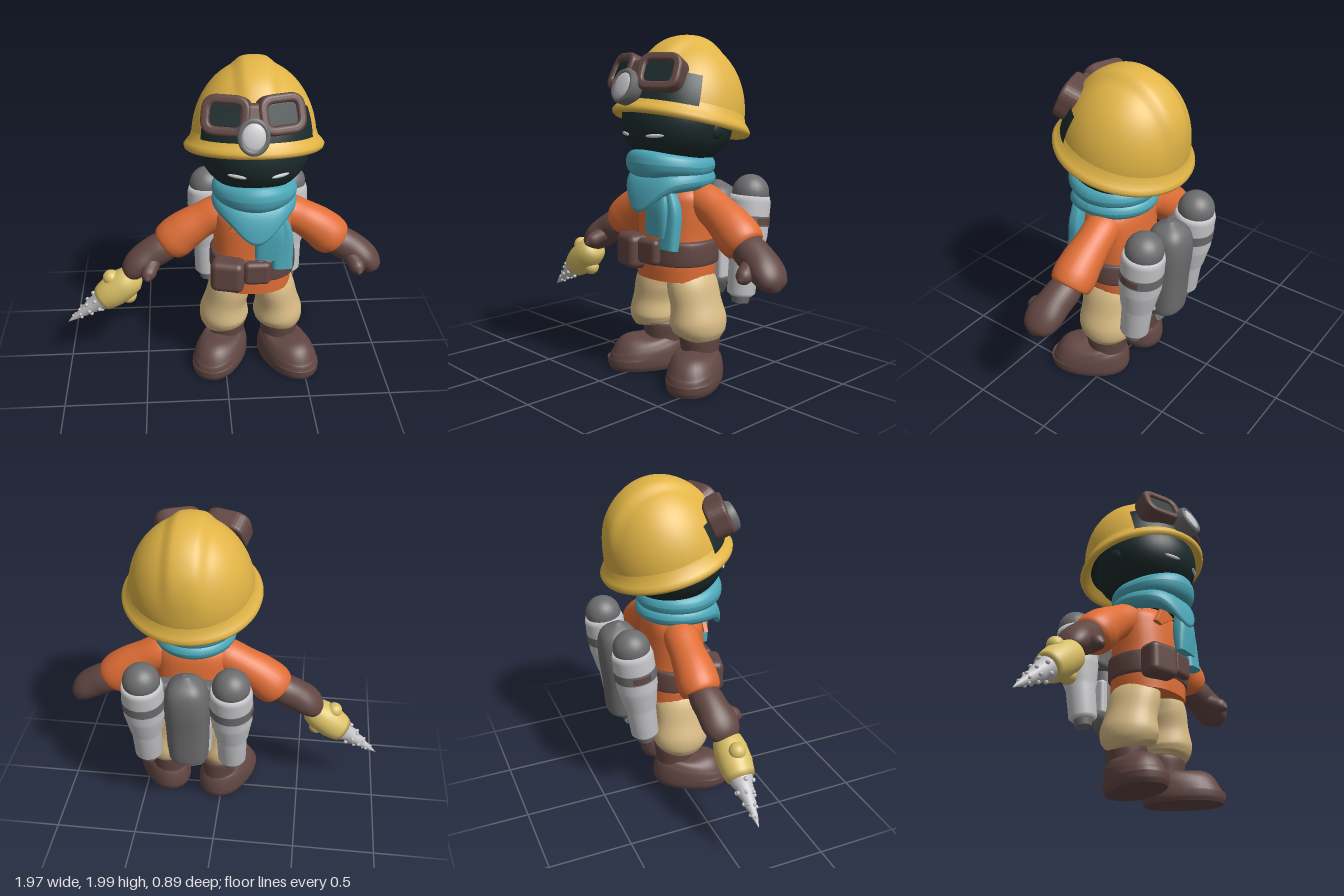
import * as THREE from 'three';
import { RoundedBoxGeometry } from 'three/addons/geometries/RoundedBoxGeometry.js';

const V = (x, y, z) => new THREE.Vector3(x, y, z);
const mat = (name, color, side = THREE.FrontSide) => {
  const m = new THREE.MeshStandardMaterial({ color, side });
  m.name = name;
  return m;
};

// Smooth body through stations [x, y, z, radiusSide, radiusDepth]; power < 1 squares the section
function sweep(stations, power = 1, sides = 28, steps = 6) {
  const curve = pts => new THREE.CatmullRomCurve3(pts, false, 'catmullrom', 0.5);
  const centre = curve(stations.map(s => V(s[0], s[1], s[2])));
  const radius = curve(stations.map(s => V(s[3], s[4] ?? s[3], 0)));
  const pos = [], idx = [], n = (stations.length - 1) * steps;
  const bend = v => Math.sign(v) * Math.abs(v) ** power;
  for (let i = 0; i <= n; i++) {
    const c = centre.getPoint(i / n), r = radius.getPoint(i / n), t = centre.getTangent(i / n);
    const s = V(0, 0, 1).cross(t).normalize(), d = t.clone().cross(s);
    for (let j = 0; j < sides; j++) {
      const a = j / sides * Math.PI * 2;
      const p = c.clone().addScaledVector(s, bend(Math.cos(a)) * r.x).addScaledVector(d, bend(Math.sin(a)) * r.y);
      pos.push(p.x, p.y, p.z);
      if (i < n) {
        const q = (j + 1) % sides, a0 = i * sides + j, b0 = i * sides + q;
        idx.push(a0, b0, b0 + sides, a0, b0 + sides, a0 + sides);
      }
    }
  }
  // end caps with their own rings
  for (const ring of [0, n]) {
    const base = pos.length / 3, c = centre.getPoint(ring / n);
    pos.push(...pos.slice(ring * sides * 3, (ring + 1) * sides * 3), c.x, c.y, c.z);
    for (let j = 0; j < sides; j++) {
      const a = base + j, b = base + (j + 1) % sides, m = base + sides;
      if (ring) idx.push(m, a, b); else idx.push(m, b, a);
    }
  }
  const g = new THREE.BufferGeometry();
  g.setAttribute('position', new THREE.Float32BufferAttribute(pos, 3));
  g.setIndex(idx);
  g.computeVertexNormals();
  return g;
}

function warp(g, rule) {
  const p = g.attributes.position, v = V();
  for (let i = 0; i < p.count; i++) {
    v.fromBufferAttribute(p, i);
    rule(v);
    p.setXYZ(i, v.x, v.y, v.z);
  }
  g.computeVertexNormals();
  return g;
}

const lathe = (pts, n = 40) => new THREE.LatheGeometry(pts.map(p => new THREE.Vector2(p[0], p[1])), n);
const box = (w, h, d, r = 0.03) => new RoundedBoxGeometry(w, h, d, 4, r);
const ball = (r, n = 24) => new THREE.SphereGeometry(r, n, Math.ceil(n * 0.7));

function roundRect(Type, w, h, r) {
  const s = new Type(), x = w / 2, y = h / 2;
  s.moveTo(-x + r, -y).lineTo(x - r, -y).quadraticCurveTo(x, -y, x, -y + r).lineTo(x, y - r)
    .quadraticCurveTo(x, y, x - r, y).lineTo(-x + r, y).quadraticCurveTo(-x, y, -x, y - r)
    .lineTo(-x, -y + r).quadraticCurveTo(-x, -y, -x + r, -y);
  return s;
}

export function createModel() {
  const orange = mat('jacketOrange', 0xe06e36), yellow = mat('helmetYellow', 0xe1b446);
  const teal = mat('scarfTeal', 0x4ca8b9), brown = mat('leatherBrown', 0x624743);
  const tan = mat('trouserTan', 0xd9bc86), dark = mat('nightDark', 0x1c2b2c, THREE.DoubleSide);
  const light = mat('lightMetal', 0xc6c5c8), grey = mat('darkMetal', 0x6d6d6f);
  const drillYellow = mat('drillYellow', 0xdac068);

  const model = new THREE.Group();
  const place = (parent, o, name, x, y, z, rx, ry, rz) => {
    o.name = name;
    o.position.set(x, y, z);
    o.rotation.set(rx, ry, rz, 'YXZ');
    parent.add(o);
    return o;
  };
  const add = (parent, name, g, m, x = 0, y = 0, z = 0, rx = 0, ry = 0, rz = 0) =>
    place(parent, new THREE.Mesh(g, m), name, x, y, z, rx, ry, rz);
  const group = (parent, name, x, y, z, rx = 0, ry = 0, rz = 0) =>
    place(parent, new THREE.Group(), name, x, y, z, rx, ry, rz);
  const body = group(model, 'body', 0.17, 0, 0);

  // Jacket, belt and pouches
  add(body, 'jacket', sweep([[0, 0.6, 0.045, 0.235, 0.2], [0, 0.7, 0.045, 0.24, 0.2], [0, 0.85, 0.04, 0.235, 0.19],
    [0, 1.0, 0.04, 0.24, 0.18], [0, 1.1, 0.04, 0.23, 0.165], [0, 1.18, 0.05, 0.15, 0.12]], 0.85), orange);
  add(body, 'belt', sweep([[0, 0.69, 0.045, 0.24, 0.2], [0, 0.705, 0.045, 0.26, 0.21], [0, 0.815, 0.045, 0.26, 0.21],
    [0, 0.835, 0.045, 0.235, 0.2]], 0.85), brown);
  add(body, 'beltPouch', box(0.2, 0.2, 0.14, 0.04), brown, -0.16, 0.75, 0.24, 0, -0.25);
  add(body, 'buckle', box(0.16, 0.15, 0.06), brown, 0.01, 0.77, 0.27);
  const lapel = new THREE.Shape([[-0.15, 1.03], [-0.1, 1.02], [0.03, 1.1], [-0.08, 1.14]].map(p => new THREE.Vector2(...p)));
  add(body, 'lapel', new THREE.ExtrudeGeometry(lapel, { depth: 0.02, bevelSize: 0.005, bevelThickness: 0.005 }), orange, 0, 0, 0.2);

  // Mirrored limbs and tanks
  for (const [s, side] of [[1, 'left'], [-1, 'right']]) {
    const mir = pts => pts.map(p => [p[0] * s, ...p.slice(1)]);
    add(body, side + 'Sleeve', sweep(mir([[0.08, 1.08, 0.03, 0.08], [0.19, 1.06, 0.02, 0.105], [0.3, 1.005, 0.015, 0.107],
      [0.4, 0.94, 0.015, 0.12], [0.47, 0.88, 0.015, 0.127], [0.51, 0.84, 0.02, 0.112], [0.52, 0.83, 0.02, 0.07]])), orange);
    add(body, side + 'Glove', sweep(mir([[0.46, 0.89, 0.02, 0.07], [0.54, 0.83, 0.025, 0.095, 0.095], [0.62, 0.785, 0.035, 0.095, 0.1],
      [0.7, 0.73, 0.05, 0.085, 0.11], [0.755, 0.675, 0.065, 0.06, 0.085], [0.78, 0.645, 0.07, 0.015, 0.02]])), brown);
    add(body, side + 'Thumb', sweep(mir([[0.6, 0.77, 0.07, 0.05], [0.625, 0.74, 0.13, 0.048], [0.64, 0.715, 0.18, 0.042],
      [0.645, 0.7, 0.215, 0.01]]), 1, 16), brown);
    add(body, side + 'Trouser', sweep(mir([[0.165, 0.265, 0.03, 0.11, 0.12], [0.17, 0.29, 0.03, 0.145, 0.16], [0.172, 0.35, 0.03, 0.155, 0.18],
      [0.16, 0.45, 0.035, 0.133, 0.165], [0.135, 0.55, 0.04, 0.13, 0.165], [0.11, 0.61, 0.04, 0.115, 0.155], [0.1, 0.65, 0.04, 0.1, 0.14]])), tan);

    const boot = group(body, side + 'Boot', 0.168 * s + 0.015, 0, 0.01 + 0.015 * s, 0, 0.475 * s + 0.025);
    add(boot, 'shaft', sweep([[0, 0.04, 0, 0.115, 0.12], [0, 0.16, 0, 0.112, 0.12], [0, 0.265, 0, 0.12, 0.128],
      [0, 0.295, 0, 0.1, 0.11]]), brown);
    add(boot, 'foot', sweep([[0, 0, 0.11, 0.142, 0.235], [0, 0.03, 0.11, 0.153, 0.247], [0, 0.08, 0.11, 0.153, 0.247],
      [0, 0.13, 0.12, 0.142, 0.222], [0, 0.175, 0.13, 0.11, 0.17], [0, 0.2, 0.13, 0.02, 0.03]], 0.9), brown);

    const tank = group(body, side + 'Tank', 0.26 * s, 0.8, -0.285, -0.12);
    add(tank, 'shell', lathe([[0, -0.34], [0.065, -0.34], [0.085, -0.32], [0.09, -0.14], [0.1, -0.11], [0.118, 0],
      [0.124, 0.03], [0.124, 0.23], [0.114, 0.265], [0, 0.27]]), light);
    add(tank, 'cap', ball(0.11), grey, 0, 0.28);
    add(tank, 'nozzle', new THREE.CylinderGeometry(0.06, 0.05, 0.06, 24), grey, 0, -0.35);
    add(tank, 'band', new THREE.CylinderGeometry(0.128, 0.128, 0.06, 36), grey, 0, 0.12);
    add(tank, 'bandPatch', new THREE.CylinderGeometry(0.131, 0.131, 0.04, 12, 1, true, s * Math.PI / 2 - 0.45, 0.9), brown, 0, 0.12);
  }
  add(body, 'centreTank', sweep([[0, 0.51, -0.29, 0.1, 0.09], [0, 0.54, -0.29, 0.12, 0.11], [0, 0.75, -0.295, 0.13, 0.12],
    [0, 0.96, -0.31, 0.13, 0.125], [0, 1.07, -0.31, 0.1, 0.1], [0, 1.13, -0.31, 0.02, 0.02]], 0.8), grey);
  add(body, 'lowerPlate', box(0.27, 0.22, 0.1, 0.02), light, 0, 0.65, -0.25);
  add(body, 'tankBracket', box(0.46, 0.2, 0.1), grey, 0, 0.92, -0.22);

  // Scarf: two draped rolls and a hanging tail
  const roll = (h, lift, dip) => warp(new THREE.TorusGeometry(1, 0.3, 20, 56), v => {
    const front = Math.max(0, -v.y), up = v.z / 0.3;
    v.set(v.x * 0.192, up * (h + front ** 3 * 0.015) + lift * front - dip * front ** 6, -v.y * 0.205);
  });
  add(body, 'lowerScarf', roll(0.055, -0.01, 0.03), teal, 0, 1.18, 0.085);
  add(body, 'upperScarf', roll(0.062, 0.022, 0), teal, 0, 1.255, 0.09);
  add(body, 'scarfTail', sweep([[0.08, 1.17, 0.25, 0.05, 0.03], [0.085, 1.05, 0.26, 0.08, 0.045], [0.08, 0.95, 0.265, 0.085, 0.04],
    [0.075, 0.87, 0.27, 0.08, 0.03]], 0.6), teal);
  add(body, 'scarfTailBack', sweep([[0.12, 1.15, 0.235, 0.04, 0.03], [0.155, 1.02, 0.235, 0.06, 0.04],
    [0.16, 0.9, 0.245, 0.06, 0.04], [0.16, 0.8, 0.26, 0.06, 0.035]], 0.6), teal);

  // Head
  add(body, 'head', ball(1, 40), dark, 0, 1.51, 0.04).scale.set(0.322, 0.275, 0.32);
  add(body, 'neck', new THREE.CylinderGeometry(0.16, 0.16, 0.2, 24), dark, 0, 1.24, 0.06);
  add(body, 'hair', ball(1, 32), dark, 0, 1.46, -0.07).scale.set(0.27, 0.18, 0.21);
  for (const s of [1, -1]) {
    add(body, 'ear', ball(0.06), dark, 0.285 * s, 1.47, 0.03).scale.x = 0.7;
    add(body, 'eye', ball(1, 16), light, 0.12 * s, 1.44, 0.328, 0, 0.4 * s, 0.05 * s).scale.set(0.056, 0.011, 0.009);
  }

  // Helmet, tilted back
  const helmet = group(body, 'helmet', 0, 1.53, 0, -0.25);
  const dome = warp(new THREE.SphereGeometry(1, 96, 48, 0, Math.PI * 2, 0, Math.PI / 2), v => {
    const smooth = THREE.MathUtils.smoothstep;
    const ridge = (1 - smooth(Math.abs(v.x), 0.16, 0.38)) * smooth(v.y, 0.2, 0.75);
    const k = 1 + 0.055 * ridge;
    v.set(v.x * 0.36 * k, v.y * 0.445 * k, v.z * 0.362 * k);
  });
  add(helmet, 'dome', dome, yellow);
  add(helmet, 'brim', lathe([[0.33, 0.0], [0.365, -0.04], [0.388, -0.06], [0.401, -0.05], [0.406, -0.03], [0.393, -0.01],
    [0.37, 0.015], [0.355, 0.06]], 64), yellow);
  add(helmet, 'lining', new THREE.CircleGeometry(0.345, 48), dark, 0, 0, 0, Math.PI / 2);
  add(helmet, 'goggleStrap', new THREE.SphereGeometry(1, 40, 12, 0.55, Math.PI - 1.1, 1.12, 0.4), dark).scale.set(0.366, 0.453, 0.37);

  // Goggles resting on the helmet
  const goggles = group(body, 'goggles', -0.03, 1.775, 0.27);
  const rim = roundRect(THREE.Shape, 0.235, 0.185, 0.07);
  rim.holes.push(roundRect(THREE.Path, 0.205, 0.155, 0.055));
  const rimGeometry = new THREE.ExtrudeGeometry(rim, { depth: 0.09, bevelSize: 0.018, bevelThickness: 0.018, bevelSegments: 4, curveSegments: 8 });
  for (const s of [1, -1]) {
    const eye = group(goggles, 'goggleEye', 0.143 * s, 0, 0, -0.42, 0.33 * s, -0.02 * s);
    add(eye, 'frame', rimGeometry, brown, 0, 0, -0.055);
    add(eye, 'lens', box(0.2, 0.15, 0.06, 0.02), dark, 0, 0, 0.005);
  }
  add(goggles, 'bridge', box(0.12, 0.11, 0.08), brown, 0, 0.02, 0.03, -0.42);

  // Head lamp
  const lamp = group(body, 'headLamp', -0.04, 1.7, 0.385, -0.35);
  lamp.scale.set(1, 1.15, 1);
  add(lamp, 'housing', lathe([[0, -0.07], [0.06, -0.07], [0.085, -0.02], [0.088, 0.03], [0.08, 0.045], [0.066, 0.045], [0.062, 0.035], [0, 0.035]]), grey, 0, 0, 0, Math.PI / 2);
  add(lamp, 'lampGlass', ball(0.064), light, 0, 0, 0.036).scale.z = 0.25;

  // Hand drill with studded spiral bit
  const drill = group(model, 'drill', -0.66, 0.57, 0.075, 0, 0, 2.214);
  add(drill, 'casing', lathe([[0, -0.15], [0.055, -0.145], [0.085, -0.11], [0.098, -0.05], [0.1, 0.04], [0.09, 0.1], [0.08, 0.13], [0, 0.13]]), drillYellow);
  for (const s of [1, -1]) add(drill, 'knob', ball(0.05), drillYellow, 0.085 * s, -0.01, 0);
  add(drill, 'bit', lathe([[0.07, 0.12], [0.066, 0.15], [0.05, 0.18], [0.052, 0.21], [0.036, 0.25], [0.037, 0.28], [0.022, 0.32], [0.02, 0.35], [0, 0.42]], 24), light);
  for (let i = 0; i < 20; i++) {
    const t = i / 19, a = t * Math.PI * 6, r = 0.066 - 0.05 * t;
    add(drill, 'stud', ball(0.014 - 0.005 * t, 8), light, r * Math.cos(a), 0.15 + 0.21 * t, r * Math.sin(a));
  }
  return model;
}
